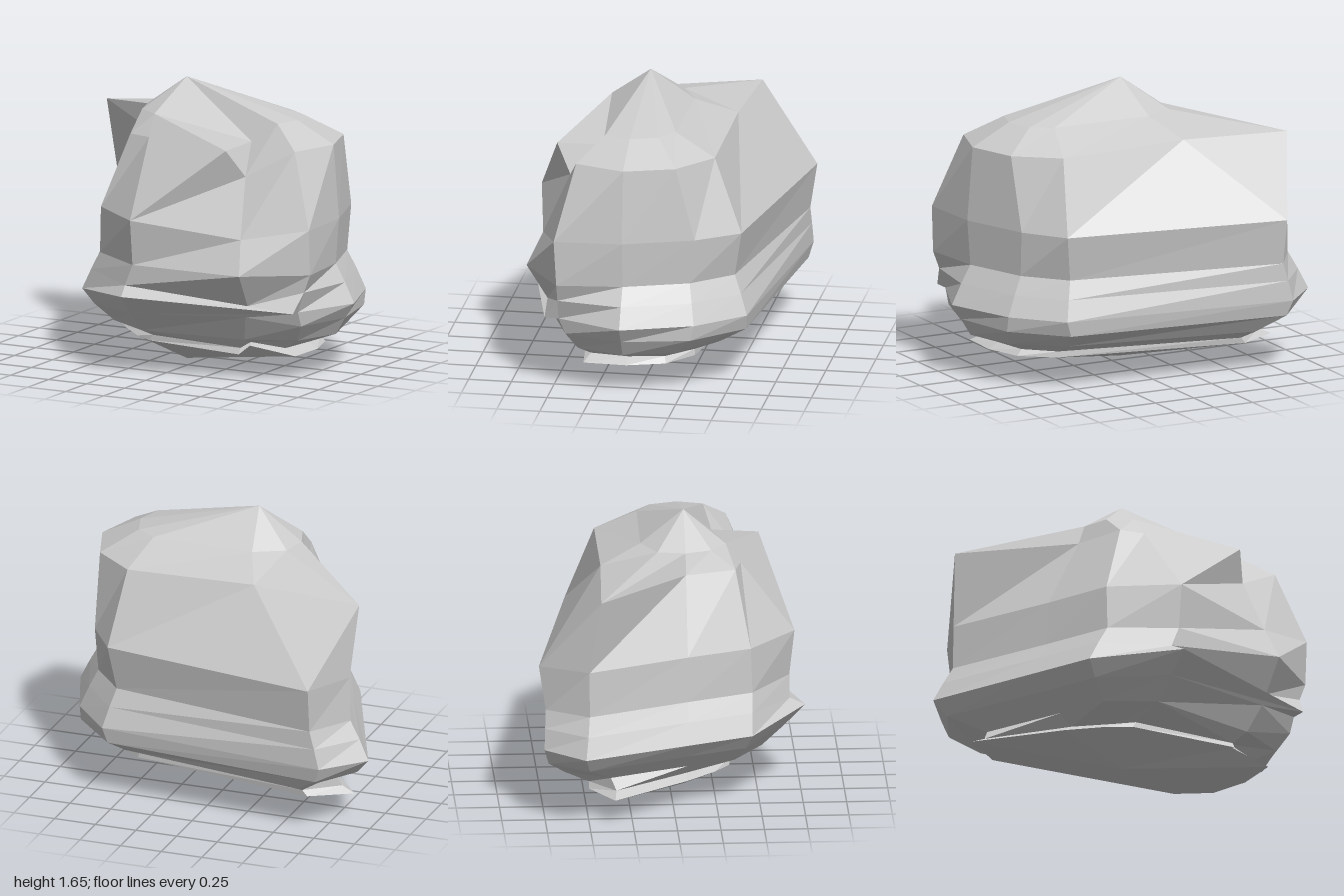
import * as THREE from 'three';

// A ring is a height, corners [x, z] running from +x round by the front, and
// optional heights for single corners. Ten-corner rings double the front corner
// so that they meet the eleven-corner rings.
function ring(y, corners, heights = {}) {
  const points = corners.map(([x, z], i) => new THREE.Vector3(x, heights[i] ?? y, z));
  if (points.length === 10) points.splice(3, 0, points[3].clone());
  return points;
}

const pole = (x, y, z) => Array.from({ length: 11 }, () => new THREE.Vector3(x, y, z));

// Skin a stack of rings with flat facets, leaving out collapsed ones
function facetedShell(name, rings, material) {
  const positions = [];
  const tri = (a, b, c) => {
    if (new THREE.Triangle(a, b, c).getArea() < 1e-6) return;
    for (const p of [a, b, c]) positions.push(p.x, p.y, p.z);
  };
  for (let i = 0; i < rings.length - 1; i++) {
    const low = rings[i], high = rings[i + 1];
    for (let j = 0; j < low.length; j++) {
      const k = (j + 1) % low.length;
      tri(low[j], high[j], low[k]);
      tri(high[j], high[k], low[k]);
    }
  }
  const geometry = new THREE.BufferGeometry();
  geometry.setAttribute('position', new THREE.Float32BufferAttribute(positions, 3));
  geometry.computeVertexNormals();
  const mesh = new THREE.Mesh(geometry, material);
  mesh.name = name;
  return mesh;
}

export function createModel() {
  const stone = new THREE.MeshStandardMaterial({ color: 0xcccccc, flatShading: true });
  const group = new THREE.Group();
  group.name = 'boulder';

  // Widest rim and shoulder, shared by neighbouring parts
  const rim = ring(0.43, [[1, 0.08], [0.84, 0.46], [0.85, 0.54], [-0.145, 0.78], [-0.58, 0.455],
    [-0.74, 0.08], [-1, -0.525], [-0.78, -0.755], [0.61, -0.6], [0.85, -0.33]], { 2: 0.435, 3: 0.48 });
  const shoulder = ring(0.92, [[0.9, 0.08], [0.92, 0.475], [0.54, 0.6], [-0.12, 0.72], [-0.46, 0.45],
    [-0.61, 0.08], [-0.875, -0.5], [-0.725, -0.785], [0.59, -0.565], [0.76, -0.32]], { 2: 0.85 });

  // Underside: shallow point, thin lip with a front notch, groove and flare out to the rim
  group.add(facetedShell('underside', [
    pole(-0.1, 0, 0.08),
    ring(0.14, [[0.76, 0.08], [0.75, 0.33], [0.47, 0.36], [0.44, 0.44], [-0.2, 0.34], [-0.33, 0.25],
      [-0.5, 0.08], [-0.85, -0.35], [-0.61, -0.49], [0.51, -0.28], [0.69, -0.14]], { 2: 0.18 }),
    ring(0.175, [[0.7, 0.08], [0.67, 0.3], [0.47, 0.35], [0.44, 0.42], [-0.18, 0.34], [-0.27, 0.25],
      [-0.45, 0.08], [-0.77, -0.34], [-0.58, -0.49], [0.5, -0.28], [0.66, -0.13]], { 2: 0.2 }),
    ring(0.24, [[0.88, 0.08], [0.78, 0.36], [0.5, 0.48], [-0.15, 0.53], [-0.42, 0.36],
      [-0.53, 0.08], [-0.73, -0.37], [-0.6, -0.63], [0.53, -0.43], [0.78, -0.22]]),
    ring(0.34, [[0.94, 0.08], [0.84, 0.42], [0.55, 0.56], [-0.15, 0.66], [-0.52, 0.42],
      [-0.66, 0.08], [-0.92, -0.5], [-0.75, -0.73], [0.58, -0.59], [0.85, -0.31]], { 2: 0.39, 3: 0.36 }),
    rim,
  ], stone));

  // Body: front ledge, then near-upright sides
  group.add(facetedShell('body', [
    rim,
    ring(0.55, [[0.94, 0.08], [0.88, 0.46], [0.57, 0.57], [-0.17, 0.69], [-0.52, 0.457],
      [-0.68, 0.08], [-0.94, -0.51], [-0.75, -0.75], [0.58, -0.56], [0.8, -0.31]], { 2: 0.46, 3: 0.53 }),
    ring(0.655, [[0.88, 0.08], [0.92, 0.46], [0.58, 0.69], [-0.12, 0.69], [-0.46, 0.46],
      [-0.62, 0.08], [-0.88, -0.5], [-0.72, -0.745], [0.55, -0.52], [0.75, -0.29]]),
    shoulder,
  ], stone));

  // Crown: front flap with a notch beside it, long back corner and a peak
  group.add(facetedShell('crown', [
    shoulder,
    ring(1.35, [[0.865, 0.08], [0.77, 0.37], [0.49, 0.45], [0.41, 0.54], [-0.167, 0.407], [-0.31, 0.37],
      [-0.4, 0.08], [-0.91, -0.435], [-0.25, -0.405], [0.53, -0.4], [0.77, -0.21]], { 2: 1.19, 8: 1.37 }),
    ring(1.47, [[0.63, 0.08], [0.58, 0.23], [0.43, 0.27], [0.41, 0.54], [-0.18, 0.32], [-0.31, 0.23],
      [-0.36, 0.08], [-0.33, -0.08], [-0.15, -0.17], [0.46, -0.16], [0.58, -0.08]], { 2: 1.36, 3: 1.35 }),
    // Fold the flap corner back to the foot of the peak
    ring(1.47, [[0.63, 0.08], [0.58, 0.23], [0.43, 0.27], [0.43, 0.27], [-0.18, 0.32], [-0.31, 0.23],
      [-0.36, 0.08], [-0.33, -0.08], [-0.15, -0.17], [0.46, -0.16], [0.58, -0.08]], { 2: 1.36, 3: 1.36 }),
    pole(-0.1, 1.655, 0.08),
  ], stone));

  return group;
}
